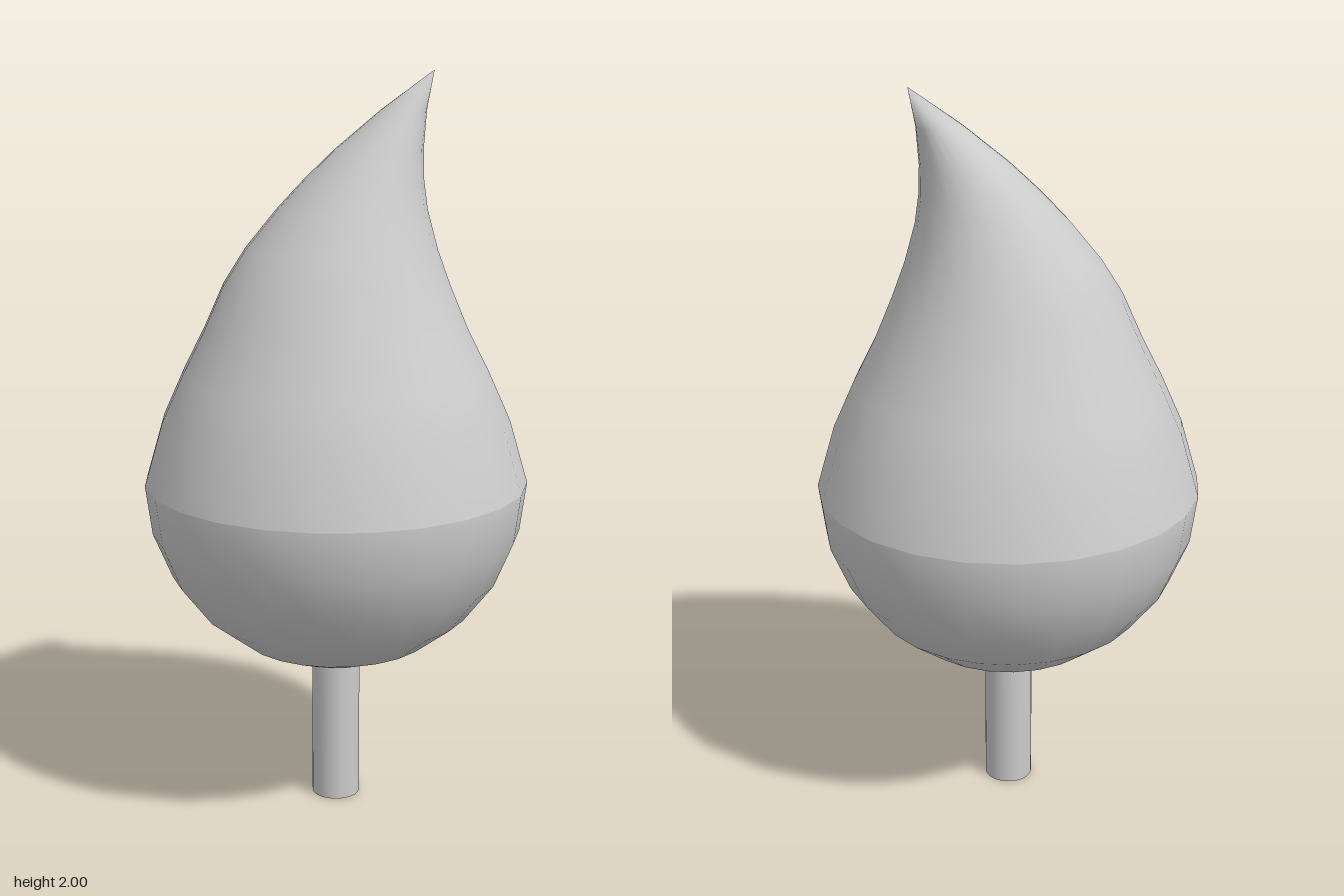
import * as THREE from 'three';
import { mergeVertices } from 'three/addons/utils/BufferGeometryUtils.js';

const SIDES = 24;
const SEAM_Y = 0.917, RADIUS = 0.517, TIP_Y = 2;

// Teardrop top: a lathe whose upper part leans towards +x on a quadratic curve
function flameGeometry() {
  const profile = [
    [RADIUS, SEAM_Y], [0.467, 1.088], [0.41, 1.215], [0.352, 1.33], [0.301, 1.448],
    [0.255, 1.54], [0.198, 1.645], [0.155, 1.725], [0.115, 1.8], [0.059, 1.9], [0, TIP_Y],
  ].map(([r, y]) => new THREE.Vector2(r, y));
  let geometry = new THREE.LatheGeometry(profile, SIDES);
  const pos = geometry.attributes.position;
  const bendStart = 1.4, lean = 0.26;
  for (let i = 0; i < pos.count; i++) {
    const t = Math.max(0, (pos.getY(i) - bendStart) / (TIP_Y - bendStart));
    pos.setX(i, pos.getX(i) + lean * t * t);
  }
  // Weld the seam so the shading stays smooth all round
  geometry.deleteAttribute('uv');
  geometry.deleteAttribute('normal');
  geometry = mergeVertices(geometry);
  geometry.computeVertexNormals();
  return geometry;
}

export function createModel() {
  const group = new THREE.Group();
  const material = new THREE.MeshStandardMaterial({ color: 0xcccccc });

  const add = (name, geometry, y = 0) => {
    const mesh = new THREE.Mesh(geometry, material);
    mesh.name = name;
    mesh.position.y = y;
    group.add(mesh);
  };

  // Round lower half
  add('bowl', new THREE.SphereGeometry(RADIUS, SIDES, 6, 0, Math.PI * 2, Math.PI / 2, Math.PI / 2), SEAM_Y);
  // Curled, pointed upper half
  add('curledTop', flameGeometry());
  // Straight stem reaching just into the bowl
  const stemHeight = 0.42;
  add('stem', new THREE.CylinderGeometry(0.066, 0.066, stemHeight, SIDES), stemHeight / 2);

  return group;
}
